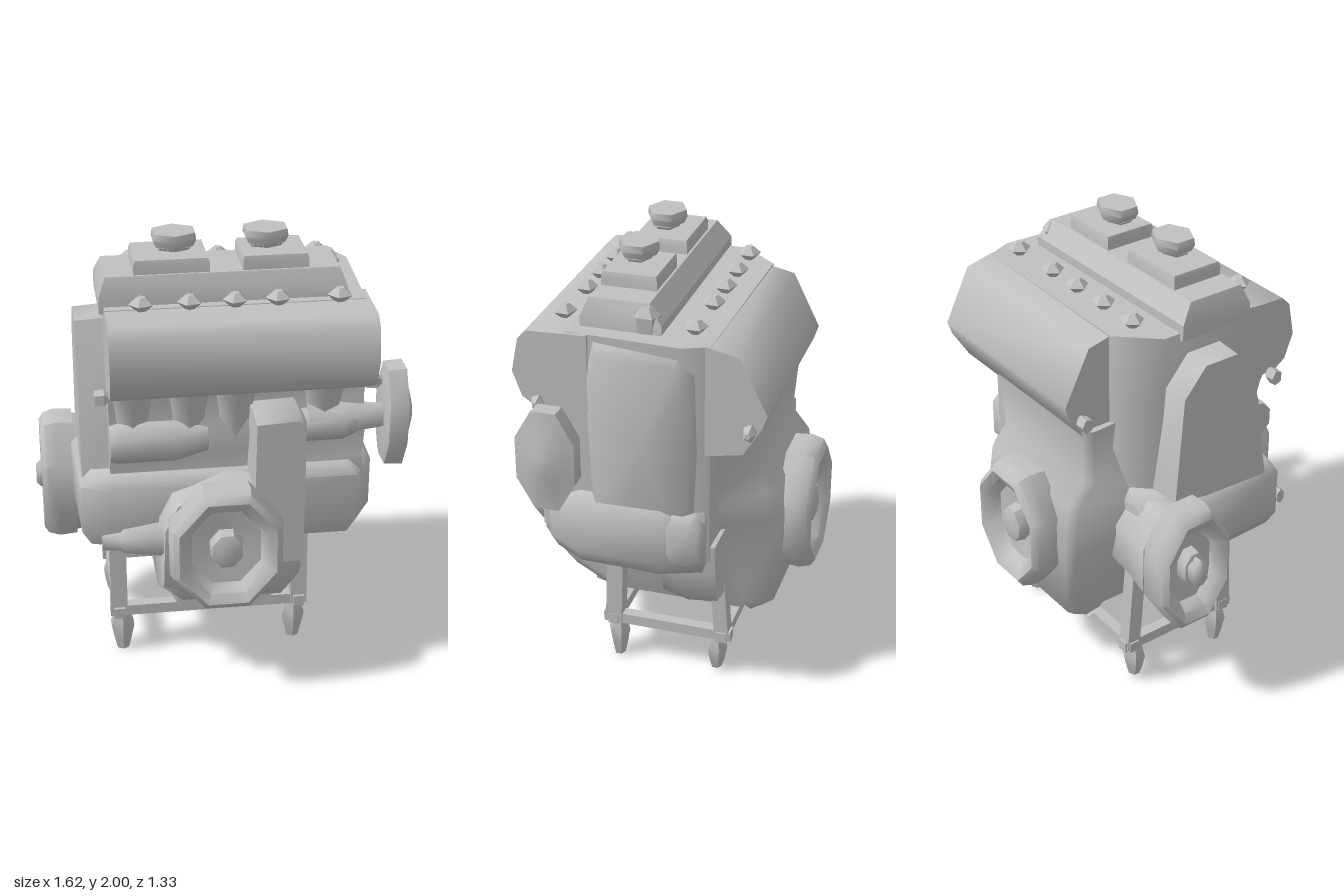
import * as THREE from 'three';
import { toCreasedNormals } from 'three/addons/utils/BufferGeometryUtils.js';

export function createModel() {
  const engine = new THREE.Group();
  engine.name = 'engineOnStand';
  const metal = new THREE.MeshStandardMaterial({ color: 0xc0c0c0 });
  metal.name = 'castGrey';

  // Skins equal-length loops of [x, y, z] and closes both ends
  function loft(name, rings, crease = 1.1) {
    const n = rings[0].length, pos = rings.flat(2), idx = [];
    for (let r = 0; r < rings.length - 1; r++) {
      for (let i = 0; i < n; i++) {
        const a = r * n + i, b = r * n + (i + 1) % n;
        idx.push(a, b, b + n, a, b + n, a + n);
      }
    }
    [0, rings.length - 1].forEach((r, end) => {
      const c = pos.length / 3;
      pos.push(...[0, 1, 2].map(k => rings[r].reduce((s, p) => s + p[k], 0) / n));
      for (let i = 0; i < n; i++) {
        const a = r * n + i, b = r * n + (i + 1) % n;
        idx.push(...(end ? [a, b, c] : [b, a, c]));
      }
    });
    // Turn faces outward using the signed volume
    const v = i => new THREE.Vector3().fromArray(pos, i * 3);
    let volume = 0;
    for (let i = 0; i < idx.length; i += 3) volume += v(idx[i]).dot(v(idx[i + 1]).cross(v(idx[i + 2])));
    if (volume < 0) idx.reverse();
    const g = new THREE.BufferGeometry();
    g.setAttribute('position', new THREE.Float32BufferAttribute(pos, 3));
    g.setIndex(idx);
    const mesh = new THREE.Mesh(toCreasedNormals(g, crease), metal);
    mesh.name = name;
    engine.add(mesh);
  }

  // Places a 2D point at a depth on an axis: x -> (z, y), y -> (x, z), z -> (x, y)
  const place = {
    x: (p, d) => [d, p[1], p[0]],
    y: (p, d) => [p[0], d, p[1]],
    z: (p, d) => [p[0], p[1], d],
  };

  // Profile swept through [depth, scale] stations, scaled about its middle
  function prism(name, profile, axis, stations, crease) {
    const mid = [0, 1].map(k => (Math.min(...profile.map(p => p[k])) + Math.max(...profile.map(p => p[k]))) / 2);
    loft(name, stations.map(([d, s = 1]) =>
      profile.map(p => place[axis](p.map((q, k) => mid[k] + (q - mid[k]) * s), d))), crease);
  }

  // Low-sided round part from [depth, radius] stations
  function round(name, axis, cu, cv, ru, rv, sides, stations, crease) {
    loft(name, stations.map(([d, r]) => Array.from({ length: sides }, (_, i) => {
      const t = (i + 0.5) / sides * Math.PI * 2;
      return place[axis]([cu + Math.cos(t) * r * ru, cv + Math.sin(t) * r * rv], d);
    })), crease);
  }

  const rect = (u0, u1, v0, v1) => [[u0, v0], [u1, v0], [u1, v1], [u0, v1]];
  const chamfer = (u0, u1, v0, v1, c) => [[u0 + c, v0], [u1 - c, v0], [u1, v0 + c], [u1, v1 - c],
    [u1 - c, v1], [u0 + c, v1], [u0, v1 - c], [u0, v0 + c]];

  // Straight square bar between two points
  function bar(name, a, b, w) {
    const from = new THREE.Vector3(...a), to = new THREE.Vector3(...b), dir = to.clone().sub(from);
    const m = new THREE.Mesh(new THREE.BoxGeometry(w, dir.length(), w), metal);
    m.position.copy(from).add(to).multiplyScalar(0.5);
    m.quaternion.setFromUnitVectors(new THREE.Vector3(0, 1, 0), dir.normalize());
    m.name = name;
    engine.add(m);
  }

  // Block: plan loops at [height, front depth], rear right corner cut off
  loft('block', [[0.72, 0.28], [0.94, 0.37], [1.02, 0.35], [1.15, 0.38], [1.3, 0.34], [1.4, 0.37], [1.73, 0.3]]
    .map(([y, f]) => [[-0.5, f], [0.6, f], [0.62, -0.2], [0.57, -0.31], [-0.35, -0.33], [-0.5, -0.17]]
      .map(([x, z]) => [x, y, z])));

  // Cylinder heads
  prism('frontHead', [[0.2, 1.73], [0.46, 1.72], [0.5, 1.68], [0.53, 1.53], [0.49, 1.42],
    [0.43, 1.38], [0.2, 1.38]], 'x', [[-0.5], [0.62]]);
  prism('rearHead', [[-0.2, 1.73], [-0.3, 1.73], [-0.43, 1.7], [-0.55, 1.46], [-0.53, 1.4],
    [-0.45, 1.27], [-0.2, 1.22]], 'x', [[-0.34], [0.58]]);

  // Side covers, bulging slightly from the block
  prism('leftSideCover', [[-0.26, 1.25], [-0.25, 1.6], [-0.2, 1.71], [0.18, 1.71], [0.22, 1.55],
    [0.2, 0.9], [0.1, 0.75], [-0.24, 0.75]], 'x', [[0.55], [0.6], [0.64, 0.86]], 1.2);
  prism('rightSideCover', [[-0.2, 1.0], [-0.16, 1.5], [-0.05, 1.63], [0.12, 1.63], [0.25, 1.3],
    [0.32, 0.9]], 'x', [[-0.45], [-0.62, 0.97]]);

  // Flared skirt with a mounting lug and boss
  prism('skirt', [[-0.65, -0.08], [-0.63, 0.37], [-0.5, 0.41], [0.57, 0.41], [0.66, 0.26],
    [0.67, -0.12], [0.6, -0.3], [-0.5, -0.3]], 'y', [[0.66, 0.94], [0.73, 1], [0.95, 1], [1.0, 0.92]]);
  prism('leftLug', chamfer(-0.3, -0.13, 0.72, 0.97, 0.04), 'x', [[0.5], [0.64], [0.66, 0.8]]);
  round('leftLowerBoss', 'x', -0.1, 0.71, 0.08, 0.09, 6, [[0.4, 1], [0.6, 0.8]]);

  // Oil pan: narrow floor widening into the skirt
  loft('oilPan', [[0.28, 0.23, -0.36], [0.47, 0.31, -0.36], [0.68, 0.36, -0.3], [0.76, 0.44, -0.28]].map(([y, w, back]) =>
    [[-w, back], [-w, 0.2], [-w * 0.85, 0.34], [w * 0.85, 0.34], [w, 0.2], [w, back]].map(([x, z]) => [x, y, z])));
  prism('panFlare', [[0.2, 0.8], [0.57, 0.8], [0.56, 0.65], [0.51, 0.47], [0.25, 0.42]],
    'z', [[-0.08, 0.85], [-0.2], [-0.33, 0.92]], 1.2);

  // Rear case: plan loops at [height, rear, front, left flare, right flare, half width]
  loft('rearCase', [[0.3, -0.46, -0.42, 0.26, -0.3, 0.25], [0.36, -0.52, -0.38, 0.3, -0.33, 0.28],
    [0.68, -0.55, -0.25, 0.36, -0.4, 0.31], [0.82, -0.55, -0.25, 0.46, -0.44, 0.32],
    [0.95, -0.53, -0.25, 0.52, -0.42, 0.32], [1.05, -0.45, -0.25, 0.55, -0.4, 0.32],
    [1.32, -0.47, -0.25, 0.58, -0.36, 0.34]].map(([y, b, f, l, r, w]) =>
    [[l, f], [w, b + 0.04], [w - 0.04, b], [-w, b], [-w - 0.03, b + 0.04], [r, f]].map(([x, z]) => [x, y, z])), 1.3);
  round('rightCase', 'x', -0.19, 0.74, 0.2, 0.29, 8, [[-0.3, 0.8], [-0.5, 0.88], [-0.64, 1]]);

  // Front timing cover with its raised column
  loft('timingCover', [[0.22, 0.27, 1], [0.42, 0.38, 1], [0.54, 0.49, 0.95]].map(([z, floor, s]) =>
    [[-0.3, 0.8], [-0.31, Math.max(0.47, floor + 0.04)], [-0.2, floor], [0.24, floor], [0.32, floor + 0.1],
      [0.32, 0.95], [0, 1.0], [-0.24, 0.92]].map(([x, y]) => [x * s, y, z])));
  prism('timingColumn', [[0.09, 0.6], [0.32, 0.6], [0.32, 1.27], [0.29, 1.31], [0.1, 1.3]],
    'z', [[0.25], [0.5], [0.545, 0.95]]);

  // Dished covers: front, rear and right
  const dish = (sign, base) => [[0, 1], [0.08, 1.02], [0.13, 0.97], [0.15, 0.87], [0.13, 0.72], [0.08, 0.62],
    [0.07, 0.3], [0.12, 0.27], [0.13, 0.16]].map(([d, r]) => [base + sign * d, r]);
  round('frontCover', 'z', -0.03, 0.74, 0.26, 0.3, 8, dish(1, 0.515), 0.8);
  round('rearCover', 'z', -0.02, 0.74, 0.25, 0.31, 8, dish(-1, -0.515), 0.8);
  round('rightCover', 'x', -0.19, 0.74, 0.195, 0.31, 8, dish(-1, -0.635), 0.8);
  round('rightHub', 'x', -0.19, 0.74, 0.045, 0.07, 6, [[-0.7, 1], [-0.79, 1], [-0.81, 0.7]]);

  // Side pulley on a shaft
  round('pulley', 'x', 0.34, 1.21, 0.14, 0.245, 8, [[0.68, 0.8], [0.69, 0.98], [0.77, 1], [0.785, 0.6], [0.81, 0.2]], 0.7);
  round('pulleyShaft', 'x', 0.34, 1.2, 0.07, 0.07, 6, [[0.35, 1.4], [0.58, 1], [0.69, 0.8]]);

  // Front outlet pipe
  round('outletPipe', 'x', 0.47, 0.73, 0.06, 0.09, 6, [[-0.2, 1.1], [-0.32, 0.9], [-0.46, 0.65], [-0.47, 0.5], [-0.55, 0.4]]);

  // Intake ports and manifold on the front
  prism('manifold', chamfer(0.28, 0.43, 1.06, 1.24, 0.05), 'x', [[-0.5, 0.9], [-0.46], [-0.22], [-0.08, 0.6]], 1.2);
  prism('manifoldLeft', chamfer(0.28, 0.43, 1.12, 1.26, 0.04), 'x', [[0.3], [0.5], [0.56, 0.7]], 1.2);
  for (const x of [-0.4, -0.16, 0.04, 0.42]) {
    loft('port', [[1.42, 0.42, 0.09], [1.28, 0.38, 0.07], [1.1, 0.35, 0.06]].map(([y, z, r]) =>
      [[x - r, y, z - 0.1], [x - r, y, z - 0.02], [x, y, z + 0.02], [x + r, y, z - 0.02], [x + r, y, z - 0.1]]), 1.2);
  }

  // Top cover with a sloping rear, filler pads and caps
  loft('topCover', [[1.7, -0.09, 0.26, 0.53], [1.77, -0.09, 0.26, 0.53], [1.85, -0.03, 0.23, 0.5]].map(([y, b, f, w]) =>
    rect(0.01 - w, w, b, f).map(([x, z]) => [x, y, z])), 0.5);
  for (const [x0, x1, c] of [[-0.37, -0.05, -0.19], [0.09, 0.37, 0.2]]) {
    prism('fillerPad', rect(x0, x1, -0.02, 0.22), 'y', [[1.82], [1.89], [1.91, 0.96]]);
    round('fillerSeal', 'y', c, 0.11, 0.08, 0.06, 6, [[1.922, 0.9], [1.934, 1]]);
    round('fillerCap', 'y', c, 0.11, 0.105, 0.09, 6, [[1.94, 0.85], [1.97, 1], [2, 0.95]]);
  }

  // Plugs along both heads
  for (const z of [0.34, -0.22]) {
    for (const x of [-0.35, -0.15, 0.04, 0.22, 0.48]) {
      round('plug', 'y', x, z, 0.055, 0.05, 5, [[1.74, 0.4], [1.77, 1], [1.8, 0.35]], 0.4);
    }
  }
  round('sensor', 'y', 0.5, -0.02, 0.05, 0.06, 5, [[1.72, 0.8], [1.8, 1], [1.84, 0.4]], 0.4);

  // Small bolts on the sides
  for (const [x, y, z] of [[0.6, 1.38, -0.48], [-0.36, 1.38, -0.48], [-0.52, 1.38, 0.4], [0.63, 1.4, 0.42]]) {
    round('sideBolt', 'x', z, y, 0.03, 0.04, 5, [[x - 0.04, 0.9], [x, 1], [x + 0.025, 0.4]], 0.4);
  }

  // Stand: legs, rails and feet
  const xs = [-0.47, 0.36], zs = [0.19, -0.32];
  for (const x of xs) {
    bar('frontLeg', [x, 0.2, 0.19], [x, 0.74, 0.17], 0.075);
    bar('rearLeg', [x, 0.2, -0.32], [x, 0.74, -0.28], 0.065);
    bar('sideRail', [x, 0.215, 0.24], [x, 0.215, -0.36], 0.05);
    for (const z of zs) {
      const fx = x < 0 ? -0.455 : 0.34, fz = z > 0 ? 0.18 : -0.285;
      round('foot', 'y', fx, fz, 0.06, 0.05, 6,
        [[z > 0 ? 0 : 0.02, 0.5], [0.06, 0.75], [0.13, 1], [0.17, 0.8], [0.2, 0.7]], 0.5);
    }
  }
  for (const z of zs) bar('crossRail', [-0.51, 0.215, z], [0.4, 0.215, z], 0.05);

  return engine;
}
